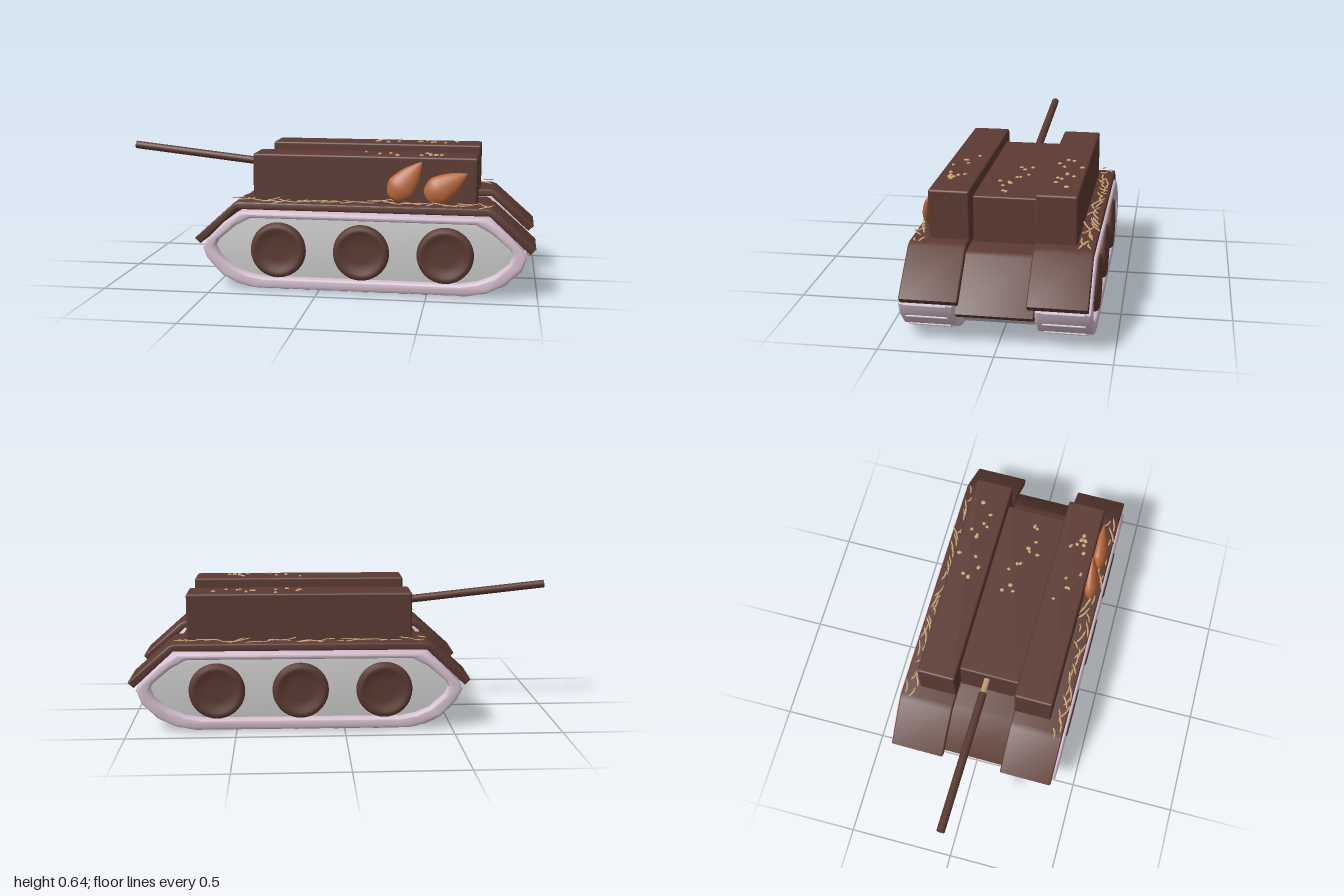
import * as THREE from 'three';
import { toCreasedNormals } from 'three/addons/utils/BufferGeometryUtils.js';
import { RoundedBoxGeometry } from 'three/addons/geometries/RoundedBoxGeometry.js';

const paint = (color) => new THREE.MeshStandardMaterial({ color });
const chocolate = paint(0x5c3a32);
const icing = paint(0xd6c0d0);
const grey = paint(0xcccccc);
const nut = paint(0xb4653a);
const tan = paint(0xc9a173);

let seed = 7;
const rand = (a, b) => {
  seed = (seed * 16807) % 2147483647;
  return a + (b - a) * (seed / 2147483647);
};

const shapeOf = (pts) => new THREE.Shape(pts.map(([x, y]) => new THREE.Vector2(x, y)));

// Extrudes a side profile between z0 and z1 with a soft edge that stays inside the outline
function slab(shape, z0, z1, bevel = 0.006) {
  const geo = new THREE.ExtrudeGeometry(shape, {
    depth: z1 - z0 - 2 * bevel, bevelThickness: bevel, bevelSize: bevel,
    bevelOffset: -bevel, bevelSegments: 3, curveSegments: 6,
  });
  geo.translate(0, 0, z0 + bevel);
  return toCreasedNormals(geo, 0.7);
}

function add(parent, name, geo, mat, x = 0, y = 0, z = 0) {
  const mesh = new THREE.Mesh(geo, mat);
  mesh.name = name;
  mesh.position.set(x, y, z);
  parent.add(mesh);
  return mesh;
}

function rod(parent, name, a, b, radius, mat) {
  const curve = new THREE.LineCurve3(a, b);
  const mesh = add(parent, name, new THREE.CylinderGeometry(radius, radius, a.distanceTo(b), 20), mat);
  mesh.position.copy(curve.getPoint(0.5));
  mesh.quaternion.setFromUnitVectors(new THREE.Vector3(0, 1, 0), b.clone().sub(a).normalize());
  return mesh;
}

// Track side outline, counter-clockwise
const OUTLINE = [
  [-0.36, 0.365], [-0.44, 0.315], [-0.53, 0.225], [-0.545, 0.19], [-0.525, 0.14], [-0.45, 0.06],
  [-0.38, 0.025], [-0.3, 0.006], [0.69, 0.006], [0.78, 0.025], [0.86, 0.065], [0.93, 0.135],
  [0.95, 0.19], [0.935, 0.225], [0.845, 0.315], [0.765, 0.365],
];
const HOLE = OUTLINE.map(([x, y]) => [0.2025 + (x - 0.2025) * 0.92, 0.197 + (y - 0.186) * 0.78]);

function track(s) {
  const group = new THREE.Group();
  group.name = s > 0 ? 'frontTrack' : 'backTrack';
  const span = (a, b) => (s > 0 ? [a, b] : [-b, -a]);

  // Belt ring and recessed side panel
  const ring = shapeOf(OUTLINE);
  ring.holes.push(new THREE.Path(HOLE.map(([x, y]) => new THREE.Vector2(x, y))));
  add(group, 'belt', slab(ring, ...span(0.17, 0.412), 0.013), icing);
  const panel = OUTLINE.map(([x, y]) => [0.2025 + (x - 0.2025) * 0.97, 0.188 + (y - 0.186) * 0.9]);
  add(group, 'sidePanel', slab(shapeOf(panel), ...span(0.18, 0.37)), grey);

  // Treads spaced around the belt
  const path = shapeOf([...OUTLINE, OUTLINE[0]]);
  const count = 36;
  const cleat = new RoundedBoxGeometry(0.035, 0.014, 0.185, 2, 0.005);
  for (let i = 0; i < count; i++) {
    const p = path.getPointAt(i / count);
    const t = path.getTangentAt(i / count);
    if (p.y > 0.24) continue;
    add(group, 'tread', cleat, icing, p.x, p.y, s * 0.293).rotation.z = Math.atan2(t.y, t.x);
  }

  // Dished wheels
  const profile = [[0.125, 0], [0.13, 0.02], [0.127, 0.038], [0.115, 0.047], [0.1, 0.046],
    [0.085, 0.038], [0.05, 0.036], [0, 0.036]];
  const wheelGeo = toCreasedNormals(
    new THREE.LatheGeometry(profile.map(([r, y]) => new THREE.Vector2(r, y)), 40), 0.9);
  for (const x of [-0.187, 0.2, 0.585]) {
    add(group, 'wheel', wheelGeo, chocolate, x, 0.187, s * 0.368).rotation.x = s * Math.PI / 2;
  }
  return group;
}

// Plate bent down at both ends
const FENDER = [[-0.585, 0.232], [-0.4, 0.4], [-0.375, 0.409], [0.775, 0.409], [0.8, 0.4], [0.99, 0.232],
  [0.965, 0.206], [0.78, 0.375], [-0.38, 0.375], [-0.56, 0.206]];
const DECK = [[-0.53, 0.155], [-0.375, 0.36], [-0.355, 0.37], [0.755, 0.37], [0.775, 0.36], [0.94, 0.155],
  [0.91, 0.13], [0.75, 0.335], [-0.35, 0.335], [-0.5, 0.13]];
const CORE = [[-0.495, 0.14], [-0.35, 0.336], [0.75, 0.336], [0.905, 0.14], [0.7, 0.016], [-0.3, 0.016]];

export function createModel() {
  const root = new THREE.Group();
  root.name = 'tankCake';
  const tank = new THREE.Group();
  tank.name = 'tank';
  tank.rotation.y = -0.008;
  root.add(tank);

  // Hull
  add(tank, 'hullCore', slab(shapeOf(CORE), -0.19, 0.19), grey);
  add(tank, 'centreDeck', slab(shapeOf(DECK.slice().reverse()), -0.168, 0.172), chocolate);
  const middle = new RoundedBoxGeometry(0.88, 0.225, 0.286, 3, 0.008);
  add(tank, 'middleBlock', middle, chocolate, 0.2, 0.469, 0.002);

  const block = new RoundedBoxGeometry(1.04, 0.23, 0.18, 3, 0.01);
  const sprinkle = new THREE.TubeGeometry(new THREE.QuadraticBezierCurve3(
    new THREE.Vector3(-0.5, 0, 0), new THREE.Vector3(0, 0, 0.2), new THREE.Vector3(0.5, 0, 0)), 5, 0.5, 6);
  // Thin the tube into a curved sliver of unit length
  const pos = sprinkle.attributes.position;
  for (let i = 0; i < pos.count; i++) {
    const x = pos.getX(i);
    const bend = 0.1 - 0.4 * x * x;
    pos.setZ(i, bend + (pos.getZ(i) - bend) * 0.16);
    pos.setY(i, pos.getY(i) * 0.12);
  }
  sprinkle.computeVertexNormals();

  for (const s of [1, -1]) {
    tank.add(track(s));
    const [z0, z1] = s > 0 ? [0.146, 0.398] : [-0.4, -0.142];
    add(tank, 'fender', slab(shapeOf(FENDER.slice().reverse()), z0, z1), chocolate);
    add(tank, 'sideBlock', block, chocolate, 0.202, 0.512, s * 0.233);
    // Sprinkles along the fender edge
    for (let i = 0; i < 36; i++) {
      const m = add(tank, 'sprinkle', sprinkle, tan,
        -0.38 + (i + rand(0, 1)) * 0.0325, rand(0.412, 0.425), s * rand(0.34, 0.385));
      m.scale.set(rand(0.04, 0.085), 0.045, 0.06);
      m.rotation.set(0, rand(-0.6, 0.6), rand(-0.22, 0.22));
    }
  }

  // Crumbs scattered on the block tops
  const crumb = new THREE.SphereGeometry(0.011, 8, 6);
  for (const [z, y] of [[0.233, 0.628], [0, 0.582], [-0.233, 0.628]]) {
    for (let i = 0; i < 12; i++) {
      const m = add(tank, 'crumb', crumb, tan, rand(0.18, 0.61), y, z + rand(-0.07, 0.07));
      m.scale.set(rand(0.7, 1.3), 0.55, rand(0.6, 1));
      m.rotation.y = rand(0, 3);
    }
  }

  // Gun barrel on its wooden pin
  const tip = new THREE.Vector3(-0.998, 0.614, -0.008);
  const base = new THREE.Vector3(-0.315, 0.54, -0.008);
  rod(tank, 'barrel', tip, base, 0.019, chocolate);
  rod(tank, 'barrelPin', base, new THREE.Vector3(-0.2, 0.528, -0.008), 0.014, tan);

  // Almonds leaning on the front block
  const almondCurve = new THREE.SplineCurve([[0, 0], [0.035, 0.01], [0.062, 0.05], [0.064, 0.085],
    [0.045, 0.145], [0.018, 0.195], [0, 0.22]].map(([r, y]) => new THREE.Vector2(r, y)));
  const almondGeo = new THREE.LatheGeometry(
    almondCurve.getPoints(20).map((p) => new THREE.Vector2(Math.max(0, p.x), p.y)), 28);
  almondGeo.scale(1, 1, 0.55);
  for (const [x, y, turn] of [[0.335, 0.435, -0.66], [0.49, 0.445, -1.02]]) {
    add(tank, 'almond', almondGeo, nut, x, y, 0.358).rotation.set(-0.2, 0, turn);
  }
  return root;
}
